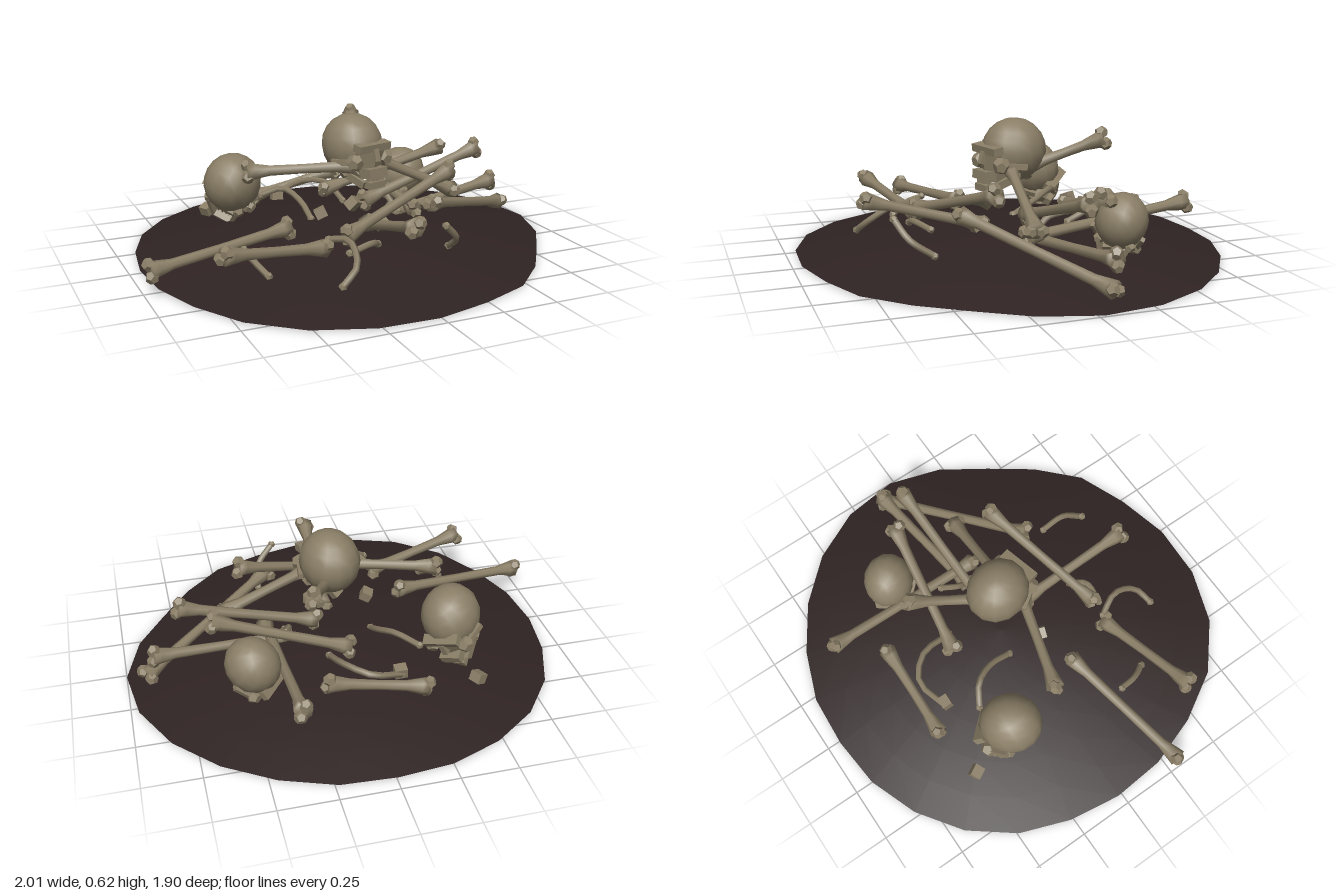
import * as THREE from 'three';

const bone = new THREE.MeshStandardMaterial({ color: 0x8a7e66 });
bone.name = 'old bone';
const soil = new THREE.MeshStandardMaterial({ color: 0x2f2323, side: THREE.DoubleSide });
soil.name = 'dark soil';

const V = (p) => new THREE.Vector3(...p);

function add(parent, name, geometry, pos = [0, 0, 0], rot = [0, 0, 0], scale = [1, 1, 1]) {
  const mesh = new THREE.Mesh(geometry, bone);
  mesh.name = name;
  mesh.position.set(...pos);
  mesh.rotation.set(...rot);
  mesh.scale.set(...scale);
  parent.add(mesh);
  return mesh;
}

// Low open dome with an irregular rim
function makeMound() {
  const rim = [1.01, 0.966, 0.918, 0.926, 0.954, 0.952, 0.98, 1.004, 1.017, 1.004, 0.97, 0.953,
    0.94, 0.936, 0.945, 0.944, 0.935, 0.928, 0.92, 0.938, 0.948, 0.969, 0.994, 1.011];
  const n = rim.length, rings = 6, pos = [], index = [];
  for (let k = 0; k <= rings; k++) {
    const t = k / rings;
    for (let i = 0; i < n; i++) {
      const a = (i / n) * Math.PI * 2, r = rim[i] * t;
      pos.push(r * Math.cos(a) - 0.01, 0.025 + 0.12 * (1 - t ** 1.7), r * Math.sin(a) - 0.03 * (1 - t) - 0.02 * t);
      if (k === rings) continue;
      const j = (i + 1) % n, p = k * n + i, q = k * n + j;
      index.push(q, q + n, p + n);
      if (k > 0) index.push(p, q, p + n);
    }
  }
  const g = new THREE.BufferGeometry();
  g.setAttribute('position', new THREE.Float32BufferAttribute(pos, 3));
  g.setIndex(index);
  g.computeVertexNormals();
  const mesh = new THREE.Mesh(g, soil);
  mesh.name = 'mound';
  return mesh;
}

// Long bone: waisted shaft with two knuckles at each end
const knuckle = new THREE.DodecahedronGeometry(0.03, 0);
function makeLongBone(from, to, roll) {
  const a = V(from), b = V(to), length = a.distanceTo(b), h = length / 2 - 0.025;
  const group = new THREE.Group();
  group.name = 'longBone';
  const profile = [[0, -h], [0.042, -h], [0.036, -h + 0.035], [0.024, -h + 0.1],
    [0.022, 0], [0.025, h - 0.1], [0.036, h - 0.035], [0.042, h], [0, h]];
  add(group, 'shaft', new THREE.LatheGeometry(profile.map((p) => new THREE.Vector2(...p)), 7));
  for (const end of [-1, 1]) {
    for (const side of [-1, 1]) {
      add(group, 'knuckle', knuckle, [side * 0.026, end * (h - 0.002), 0.006 * side], [side, end, 0.4]);
    }
  }
  group.position.copy(a).add(b).multiplyScalar(0.5);
  group.quaternion.setFromUnitVectors(new THREE.Vector3(0, 1, 0), b.sub(a).normalize());
  group.rotateY(roll);
  return group;
}

// Skull: round cranium and a face framed by brow, cheeks, nose and jaw; faces +z
function makeSkull(name, size, centre, facing, roll = 0) {
  const skull = new THREE.Group();
  skull.name = name;
  add(skull, 'cranium', new THREE.SphereGeometry(1, 14, 10), [0, 0, 0], [0, 0, 0], [0.95, 1, 1.05]);
  const taper = new THREE.CylinderGeometry(0.7, 0.5, 1, 6).toNonIndexed();
  taper.computeVertexNormals();
  add(skull, 'faceCore', taper, [0, -0.5, 0.72], [0.1, 0, 0], [0.9, 0.95, 0.62]);
  add(skull, 'brow', new THREE.BoxGeometry(1.25, 0.24, 0.35), [0, 0.02, 1.0], [0.2, 0, 0]);
  add(skull, 'noseBridge', new THREE.BoxGeometry(0.18, 0.4, 0.25), [0, -0.25, 1.12], [-0.2, 0, 0]);
  add(skull, 'upperJaw', new THREE.BoxGeometry(0.72, 0.28, 0.5), [0, -0.78, 1.02]);
  add(skull, 'lowerJaw', new THREE.BoxGeometry(0.62, 0.22, 0.4), [0, -1.17, 0.98], [0.1, 0, 0]);
  for (const s of [-1, 1]) {
    add(skull, 'cheekbone', new THREE.DodecahedronGeometry(0.28, 0), [s * 0.6, -0.42, 0.85], [0.3, s * 0.4, 0]);
    add(skull, 'cheekArch', new THREE.BoxGeometry(0.14, 0.18, 0.7), [s * 0.82, -0.42, 0.45], [0, -s * 0.35, 0]);
    add(skull, 'jawSide', new THREE.BoxGeometry(0.14, 0.25, 0.75), [s * 0.45, -1.0, 0.62], [0.5, -s * 0.3, 0]);
    add(skull, 'jawHinge', new THREE.DodecahedronGeometry(0.2, 0), [s * 0.58, -0.78, 0.3]);
  }
  for (let i = -2; i <= 2; i++) {
    add(skull, 'tooth', new THREE.BoxGeometry(0.1, 0.16, 0.1), [i * 0.13, -0.96, 1.18 - 0.03 * i * i]);
  }
  skull.scale.setScalar(size);
  skull.position.set(...centre);
  skull.lookAt(V(centre).add(V(facing)));
  skull.rotateZ(roll);
  return skull;
}

// Curved rib fragment, flattened in height
function makeRib(points) {
  const curve = new THREE.CatmullRomCurve3(points.map(V));
  const group = new THREE.Group();
  group.name = 'rib';
  add(group, 'ribShaft', new THREE.TubeGeometry(curve, 8, 0.015, 5));
  for (const p of [points[0], points[points.length - 1]]) {
    add(group, 'ribTip', new THREE.DodecahedronGeometry(0.018, 0), p);
  }
  return group;
}

export function createModel() {
  const model = new THREE.Group();
  model.name = 'bonePile';
  model.add(makeMound());

  const longBones = [
    [[-1.0, 0.13, 0.29], [-0.30, 0.19, 0.15]],
    [[-0.76, 0.24, 0.52], [-0.23, 0.16, 0.39]],
    [[0.02, 0.31, 0.71], [0.05, 0.15, 0.13]],
    [[-0.18, 0.2, 0.41], [0.46, 0.39, 0.21]],
    [[0.27, 0.28, 0.34], [0.93, 0.08, -0.12]],
    [[0.10, 0.2, -0.03], [0.77, 0.4, -0.07]],
    [[0.22, 0.56, -0.39], [0.06, 0.4, -0.02]],
    [[-0.47, 0.41, -0.04], [0.06, 0.42, 0.11]],
    [[0.0, 0.2, -0.28], [0.64, 0.39, -0.19]],
    [[0.33, 0.26, -0.75], [0.35, 0.16, 0.08]],
    [[0.24, 0.13, -0.02], [0.9, 0.2, -0.13]],
    [[0.1, 0.45, 0.05], [0.56, 0.23, 0.08]],
    [[-0.28, 0.13, -0.54], [0.21, 0.23, -0.53]],
  ];
  longBones.forEach(([a, b], i) => model.add(makeLongBone(a, b, i * 1.3)));

  model.add(makeSkull('topSkull', 0.143, [0.05, 0.495, 0], [0.25, 0.08, 0.95]));
  model.add(makeSkull('rightSkull', 0.138, [-0.44, 0.3, -0.27], [0.5, -0.45, -0.7], 0.4));
  model.add(makeSkull('leftSkull', 0.122, [0.47, 0.235, -0.34], [-0.45, -0.55, -0.25], 0.3));

  const ribs = [
    [[-0.28, 0.2, -0.33], [-0.19, 0.24, -0.27], [-0.14, 0.2, -0.17], [-0.13, 0.14, -0.06]],
    [[-0.17, 0.15, -0.45], [-0.02, 0.2, -0.49], [0.08, 0.21, -0.4], [0.11, 0.15, -0.24]],
    [[-0.57, 0.16, 0.27], [-0.56, 0.14, 0.35], [-0.52, 0.09, 0.43]],
    [[-0.24, 0.2, 0.4], [-0.19, 0.22, 0.5], [-0.21, 0.15, 0.62], [-0.29, 0.09, 0.66]],
    [[0.21, 0.26, 0.6], [0.29, 0.18, 0.55], [0.31, 0.11, 0.45]],
    [[0.29, 0.25, -0.16], [0.26, 0.22, -0.08], [0.29, 0.14, 0.0]],
    [[-0.16, 0.14, 0.44], [-0.06, 0.17, 0.44], [0.0, 0.14, 0.38]],
  ];
  ribs.forEach((points) => model.add(makeRib(points)));

  // Loose chips
  const chips = [[-0.5, 0.11, -0.5], [-0.16, 0.16, -0.44], [0.0, 0.25, 0.12], [-0.15, 0.22, 0.1], [0.1, 0.17, 0.2]];
  chips.forEach((p, i) => add(model, 'boneChip', new THREE.BoxGeometry(0.05, 0.045, 0.055), p, [i, 0.5 + i, 0.4]));

  return model;
}
